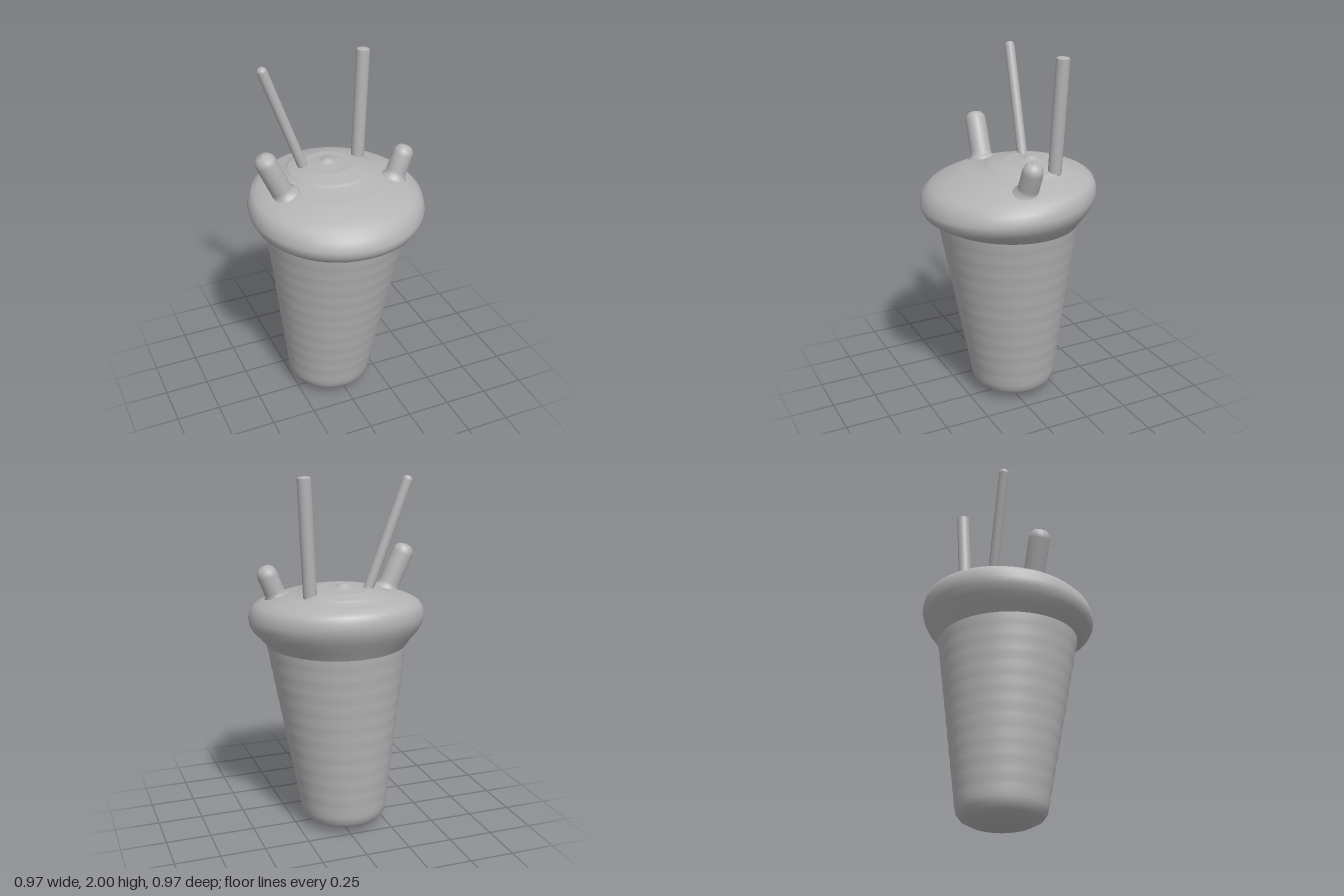
import * as THREE from 'three';

const gray = new THREE.MeshStandardMaterial({ color: 0xb4b4b4 });
gray.name = 'plain gray';

// Skin stacked rings, each [zFront, zBack, yFront, yBack, centreX], from bottom to top
function loft(name, rings, sides = 48) {
  const pos = [], idx = [];
  rings.forEach(([zf, zb, yf, yb, cx = 0], i) => {
    const r = (zf - zb) / 2;
    for (let j = 0; j < sides; j++) {
      const a = (j / sides) * Math.PI * 2, t = (1 + Math.cos(a)) / 2;
      pos.push(cx + r * Math.sin(a), yb + (yf - yb) * t, zb + (zf - zb) * t);
      if (i === rings.length - 1) continue;
      const k = (j + 1) % sides, p = i * sides, q = p + sides;
      idx.push(p + j, p + k, q + k, p + j, q + k, q + j);
    }
  });
  const geo = new THREE.BufferGeometry();
  geo.setAttribute('position', new THREE.Float32BufferAttribute(pos, 3));
  geo.setIndex(idx);
  geo.computeVertexNormals();
  const mesh = new THREE.Mesh(geo, gray);
  mesh.name = name;
  return mesh;
}

// Lathe a profile of [radius, height] along the line from a to b
function stick(name, a, b, profile) {
  const from = new THREE.Vector3(...a), dir = new THREE.Vector3(...b).sub(from);
  const pts = profile(dir.length()).map(([r, h]) => new THREE.Vector2(r, h));
  const mesh = new THREE.Mesh(new THREE.LatheGeometry(pts, 24), gray);
  mesh.position.copy(from);
  mesh.quaternion.setFromUnitVectors(new THREE.Vector3(0, 1, 0), dir.normalize());
  mesh.name = name;
  return mesh;
}

// Straw with a rounded tip; blunt is the height of the tip rounding
const straw = (r, blunt) => (len) => [
  [r, 0], [r, len - blunt], [r * 0.85, len - blunt * 0.4], [r * 0.5, len - blunt * 0.08], [0, len],
];
// Stubby peg with a soft collar at its foot
const peg = (r) => (len) => [
  [r * 1.5, -0.05], [r * 1.45, 0], [r * 1.3, 0.025], [r * 1.02, 0.035], [r, 0.06],
  [r, len - 0.055], [r * 0.9, len - 0.028], [r * 0.6, len - 0.008], [0, len],
];

export function createModel() {
  const model = new THREE.Group();

  // Cup: leaning slightly back, rounded base and faint ripples
  const cup = [[0, 0], [0.09, 0.004], [0.16, 0.022], [0.215, 0.05], [0.238, 0.08]]
    .map(([r, y]) => [r - 0.047, -r - 0.047, y, y, -0.028]);
  for (let i = 0; i <= 36; i++) {
    const t = i / 36, y = 0.11 + t * 0.99;
    const r = 0.244 + 0.15 * t + 0.0012 * Math.sin(i * 1.9);
    const lean = 1 - t;
    cup.push([r - 0.047 * lean, -r - 0.047 * lean, y, y, -0.028 * lean]);
  }
  model.add(loft('cup', cup));

  // Lid: swollen rim rising to an off-centre stepped disc with a small nub
  model.add(loft('lid', [
    [0.39, -0.385, 1.085, 1.06],
    [0.425, -0.42, 1.102, 1.12],
    [0.465, -0.455, 1.13, 1.17],
    [0.482, -0.476, 1.16, 1.215],
    [0.485, -0.485, 1.19, 1.255],
    [0.467, -0.48, 1.245, 1.295],
    [0.43, -0.468, 1.278, 1.32],
    [0.37, -0.45, 1.308, 1.335],
    [0.30, -0.432, 1.334, 1.343],
    [0.24, -0.415, 1.352, 1.352],
    [0.228, -0.405, 1.352, 1.352, 0.01],
    [0.125, -0.358, 1.372, 1.366, 0.01],
    [0.118, -0.354, 1.383, 1.377, 0.01],
    [0.10, -0.34, 1.386, 1.381, 0.01],
    [0.01, -0.27, 1.402, 1.398, 0.005],
    [0, -0.26, 1.404, 1.4, 0.005],
    [-0.012, -0.25, 1.4, 1.396, 0.005],
    [-0.09, -0.18, 1.405, 1.404, 0.005],
    [-0.102, -0.168, 1.418, 1.418, 0.005],
    [-0.12, -0.15, 1.424, 1.424, 0.005],
    [-0.135, -0.135, 1.425, 1.425, 0.005],
  ]));

  // Two straws
  model.add(stick('thinStraw', [-0.107, 1.33, -0.152], [-0.342, 1.985, -0.178], straw(0.028, 0.025)));
  model.add(stick('tallStraw', [0.203, 1.3, -0.174], [0.241, 2.0, -0.194], straw(0.037, 0.008)));

  // Two pegs leaning outward
  model.add(stick('rightPeg', [-0.298, 1.325, 0.015], [-0.418, 1.59, 0.008], peg(0.059)));
  model.add(stick('leftPeg', [0.318, 1.315, 0.05], [0.395, 1.51, 0.043], peg(0.056)));

  return model;
}
